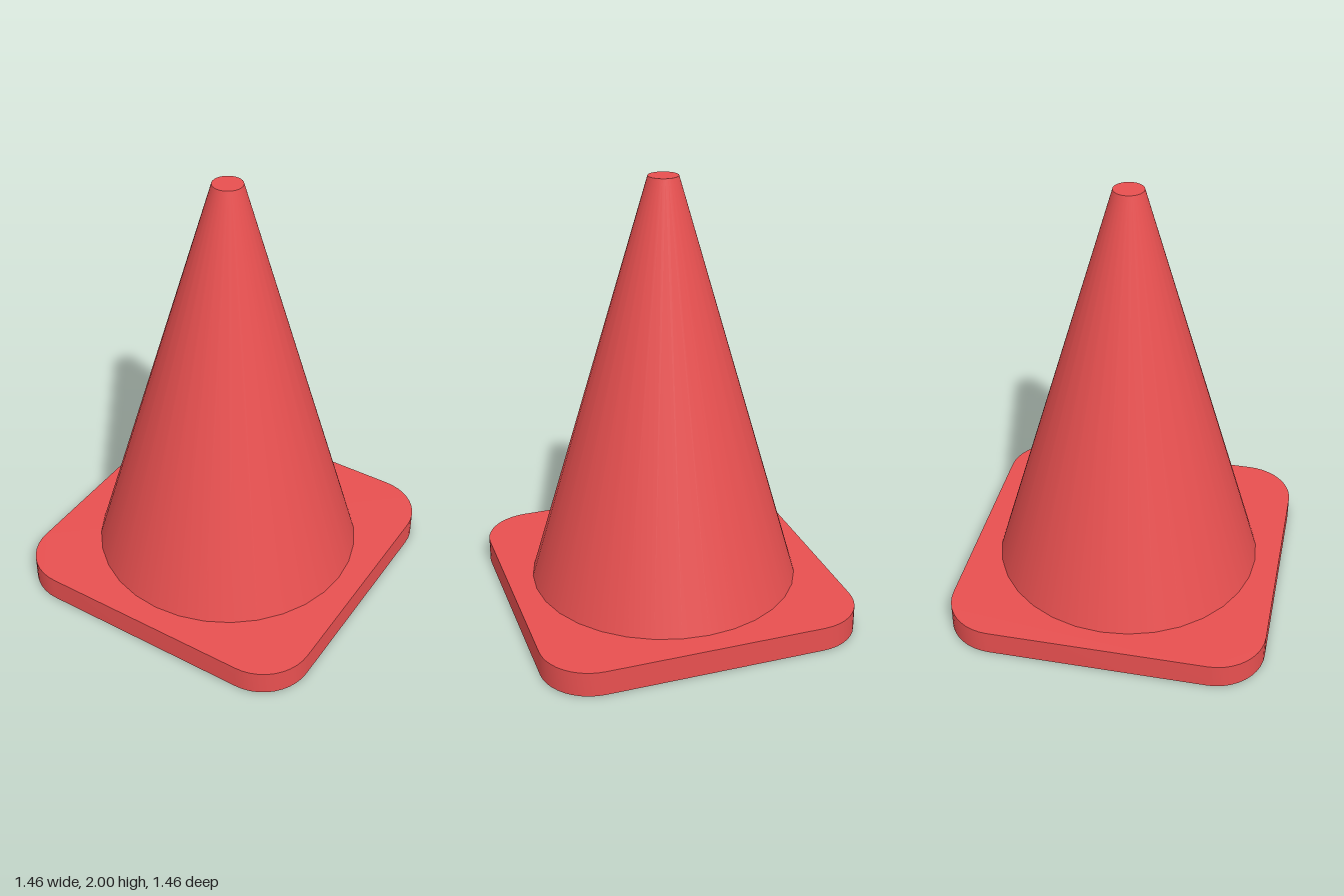
import * as THREE from 'three';
import { toCreasedNormals } from 'three/addons/utils/BufferGeometryUtils.js';

const BASE_HALF = 0.73, CORNER = 0.23, BASE_HEIGHT = 0.115, TOTAL_HEIGHT = 2;

// Square outline with rounded corners
function roundedSquare(half, radius) {
  const shape = new THREE.Shape();
  const c = half - radius;
  [[c, c], [-c, c], [-c, -c], [c, -c]].forEach(([x, y], i) => {
    const start = i * Math.PI / 2;
    shape.absarc(x, y, radius, start, start + Math.PI / 2, false);
  });
  return shape;
}

export function createModel() {
  const group = new THREE.Group();
  group.name = 'trafficCone';
  const material = new THREE.MeshStandardMaterial({ color: 0xe85050 });

  // Flat base plate with softly shaded corners
  const plate = new THREE.ExtrudeGeometry(roundedSquare(BASE_HALF, CORNER), {
    depth: BASE_HEIGHT, bevelEnabled: false, curveSegments: 5,
  });
  plate.rotateX(-Math.PI / 2);
  const base = new THREE.Mesh(toCreasedNormals(plate, 0.6), material);
  base.name = 'base';
  group.add(base);

  // Tapered body with a closed flat tip
  const height = TOTAL_HEIGHT - BASE_HEIGHT;
  const body = new THREE.Mesh(new THREE.CylinderGeometry(0.067, 0.617, height, 32), material);
  body.name = 'cone';
  body.position.y = BASE_HEIGHT + height / 2;
  group.add(body);

  return group;
}
